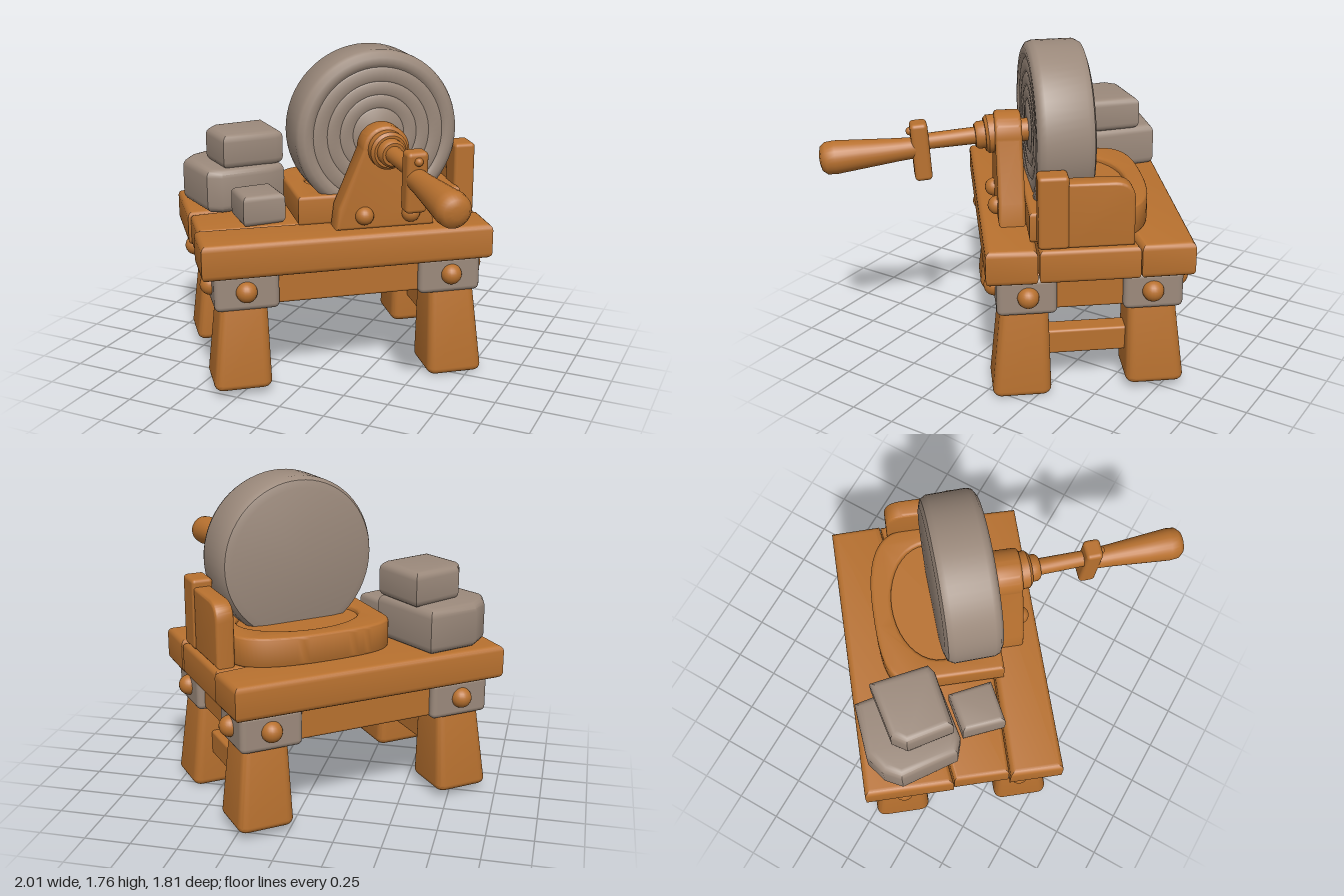
import * as THREE from 'three';
import { toCreasedNormals } from 'three/addons/utils/BufferGeometryUtils.js';
import { RoundedBoxGeometry } from 'three/addons/geometries/RoundedBoxGeometry.js';

export function createModel() {
  const wood = new THREE.MeshStandardMaterial({ color: 0xb8712f });
  wood.name = 'wood';
  const stone = new THREE.MeshStandardMaterial({ color: 0x9c8a7c });
  stone.name = 'stone';

  const model = new THREE.Group();
  model.name = 'grindstoneBench';
  const bench = new THREE.Group();
  bench.name = 'bench';
  bench.rotation.y = 0.667;
  model.add(bench);

  const add = (name, geo, mat, pos = [0, 0, 0], parent = bench) => {
    const mesh = new THREE.Mesh(geo, mat);
    mesh.name = name;
    mesh.position.set(...pos);
    parent.add(mesh);
    return mesh;
  };

  // Rounded box given by its min and max corners
  const box = (name, mat, a, b, r = 0.025) =>
    add(name, new RoundedBoxGeometry(b[0] - a[0], b[1] - a[1], b[2] - a[2], 3, r), mat,
      a.map((v, i) => (v + b[i]) / 2));

  // Bevelled extrusion from z = 0 to z = depth
  const extrude = (shape, depth, bevel) => {
    const geo = new THREE.ExtrudeGeometry(shape, {
      depth: depth - 2 * bevel, bevelThickness: bevel, bevelSize: bevel,
      bevelOffset: -bevel, bevelSegments: 4, curveSegments: 20,
    });
    return toCreasedNormals(geo.translate(0, 0, bevel), 0.6);
  };

  // Flat-lying block from an outline of [x, z] points
  const slab = (name, mat, pts, y0, y1, bevel, parent) => {
    const shape = new THREE.Shape(pts.map(([x, z]) => new THREE.Vector2(x, -z)));
    return add(name, extrude(shape, y1 - y0, bevel).rotateX(-Math.PI / 2), mat, [0, y0, 0], parent);
  };

  // Turned part along +z from [radius, z] points
  const turned = (pts, sides = 32) => toCreasedNormals(
    new THREE.LatheGeometry(pts.map(p => new THREE.Vector2(...p)), sides).rotateX(Math.PI / 2), 0.7);

  // Domed bolt head
  const bolt = (pos, r = 0.056) => add('bolt', new THREE.SphereGeometry(r, 20, 14), wood, pos);

  // Table top: three planks
  slab('backPlank', wood, [[-0.82, -0.59], [0.72, -0.59], [0.725, -0.315], [-0.82, -0.115]], 0.67, 0.857, 0.032);
  slab('middlePlank', wood, [[-0.805, -0.11], [0.72, -0.31], [0.72, 0.2], [-0.805, 0.185]], 0.67, 0.85, 0.025);
  slab('frontPlank', wood, [[-0.825, 0.19], [0.725, 0.21], [0.72, 0.47], [-0.825, 0.475]], 0.667, 0.858, 0.032);

  // Solid body under the top, set back from the corner brackets, with a stone left end
  const [x0, x1, z0, z1] = [-0.757, 0.677, -0.543, 0.417];
  box('apron', wood, [x0 + 0.04, 0.487, z0 + 0.04], [x1 - 0.04, 0.69, z1 - 0.04], 0.015);
  box('endApron', stone, [x0 + 0.03, 0.48, z0 + 0.1], [x0 + 0.08, 0.68, z1 - 0.1], 0.015);

  // Corner brackets, bolts and splayed legs
  for (const sx of [-1, 1]) for (const sz of [-1, 1]) {
    const cx = sx < 0 ? x0 : x1, cz = sz < 0 ? z0 : z1;
    const ix = cx - sx * 0.34, iz = cz - sz * 0.31;
    box('cornerBracket', stone,
      [Math.min(cx, ix), 0.474, Math.min(cz, iz)], [Math.max(cx, ix), 0.68, Math.max(cz, iz)], 0.03);
    bolt([cx - sx * 0.165, 0.58, cz]);
    bolt([cx, 0.58, cz - sz * 0.16]);

    const foot = sx > 0 && sz > 0 ? 0.002 : 0.035, h = 0.52 - foot;
    const leg = new RoundedBoxGeometry(0.245, h, 0.245, 4, 0.04);
    const p = leg.attributes.position;
    for (let i = 0; i < p.count; i++) {
      const t = 0.5 - p.getY(i) / h, k = 1 + 0.27 * t;
      p.setX(i, p.getX(i) * k + sx * 0.02 * t);
      p.setZ(i, p.getZ(i) * k + sz * 0.022 * t);
    }
    leg.computeVertexNormals();
    add('leg', toCreasedNormals(leg, 0.7), wood,
      [sx < 0 ? -0.6 : 0.525, foot + h / 2, sz < 0 ? -0.385 : 0.272]);
  }

  // Stretchers between front and back legs
  for (const x of [-0.615, 0.535])
    box('stretcher', wood, [x - 0.055, 0.193, -0.4], [x + 0.055, 0.33, 0.27], 0.015);

  // Cradle under the wheel with a shallow sunken top
  const cradle = new THREE.Shape();
  cradle.moveTo(-0.28, -0.24);
  cradle.lineTo(0.61, -0.24);
  cradle.lineTo(0.61, 0.2);
  cradle.bezierCurveTo(0.6, 0.36, 0.42, 0.415, 0.165, 0.415);
  cradle.bezierCurveTo(-0.09, 0.415, -0.26, 0.4, -0.28, 0.26);
  cradle.closePath();
  const hollow = new THREE.Path();
  hollow.absellipse(0.165, 0.08, 0.34, 0.23, 0, Math.PI * 2, true);
  cradle.holes.push(hollow);
  add('cradle', extrude(cradle, 0.16, 0.02).rotateX(-Math.PI / 2), wood, [0, 0.85, 0]);
  box('cradleFloor', wood, [-0.21, 0.85, -0.33], [0.54, 0.985, 0.2], 0.02);

  // Grinding wheel with faint rings on its front face
  const rim = [[0, -0.15], [0.385, -0.15], [0.425, -0.137], [0.443, -0.105],
    [0.443, 0.105], [0.433, 0.133], [0.405, 0.15], [0.375, 0.15]];
  for (const r of [0.355, 0.28, 0.21, 0.14])
    rim.push([r + 0.008, 0.143], [r, 0.138], [r - 0.008, 0.143]);
  rim.push([0, 0.143]);
  const wheel = add('grindingWheel', turned(rim, 64), stone, [0.157, 1.316, 0.06]);
  wheel.rotation.y = 0.04;

  // Axle support
  const support = new THREE.Shape();
  support.moveTo(-0.265, 0);
  support.lineTo(0.265, 0);
  support.lineTo(0.25, 0.12);
  support.lineTo(0.125, 0.42);
  support.absarc(0, 0.42, 0.125, 0, Math.PI);
  support.lineTo(-0.25, 0.12);
  support.closePath();
  add('axleSupport', extrude(support, 0.14, 0.02), wood, [0.155, 0.855, 0.24]);
  for (const s of [-1, 1]) bolt([0.165 + s * 0.125, 0.93, 0.38], 0.049);

  // Hub, axle, crank plate and grip
  const crank = new THREE.Group();
  crank.name = 'crank';
  crank.position.set(0.157, 1.28, 0.38);
  crank.rotation.set(0.055, 0.075, 0);
  bench.add(crank);
  add('hub', turned([[0, -0.2], [0.06, -0.2], [0.06, -0.02], [0.1, -0.02], [0.1, 0.035], [0.085, 0.05],
    [0.072, 0.05], [0.072, 0.085], [0.06, 0.1], [0, 0.1]]), wood, [0, 0, 0], crank);
  add('axle', turned([[0, 0.05], [0.045, 0.05], [0.042, 0.36], [0.055, 0.37], [0.055, 0.4], [0, 0.4]], 20),
    wood, [0, 0, 0], crank);
  add('crankPlate', new RoundedBoxGeometry(0.11, 0.31, 0.09, 3, 0.022), wood, [0, -0.045, 0.385], crank);
  add('crankBolt', new THREE.SphereGeometry(0.022, 14, 10), wood, [0, 0.065, 0.43], crank);
  add('grip', turned([[0, 0.41], [0.055, 0.41], [0.06, 0.5], [0.077, 0.7], [0.087, 0.82], [0.083, 0.865],
    [0.062, 0.89], [0.03, 0.898], [0, 0.9]], 28), wood, [0, -0.028, 0], crank);

  // Upright end boards
  const end = new THREE.Shape();
  end.moveTo(-0.06, 0);
  end.lineTo(0.28, 0);
  end.lineTo(0.28, 0.24);
  end.quadraticCurveTo(0.28, 0.34, 0.18, 0.345);
  end.lineTo(-0.06, 0.345);
  end.closePath();
  add('endBoardBack', extrude(end, 0.1, 0.018).rotateY(Math.PI / 2), wood, [0.598, 0.85, 0]);
  box('endBoardFront', wood, [0.59, 0.85, 0.05], [0.705, 1.235, 0.205], 0.02);

  // Rough stone blocks
  slab('lowerStone', stone, [[-0.89, 0.1], [-0.86, -0.02], [-0.65, -0.22], [-0.32, 0.04],
    [-0.35, 0.13], [-0.53, 0.35], [-0.61, 0.38], [-0.87, 0.2]], 0.855, 1.1, 0.045, model);
  slab('upperStone', stone, [[-0.75, 0.07], [-0.56, -0.17], [-0.325, 0.04],
    [-0.34, 0.09], [-0.54, 0.315], [-0.74, 0.16]], 1.09, 1.28, 0.04, model);
  slab('smallStone', stone, [[-0.485, 0.34], [-0.34, 0.17], [-0.165, 0.33], [-0.32, 0.505]],
    0.85, 1.015, 0.03, model);

  return model;
}
